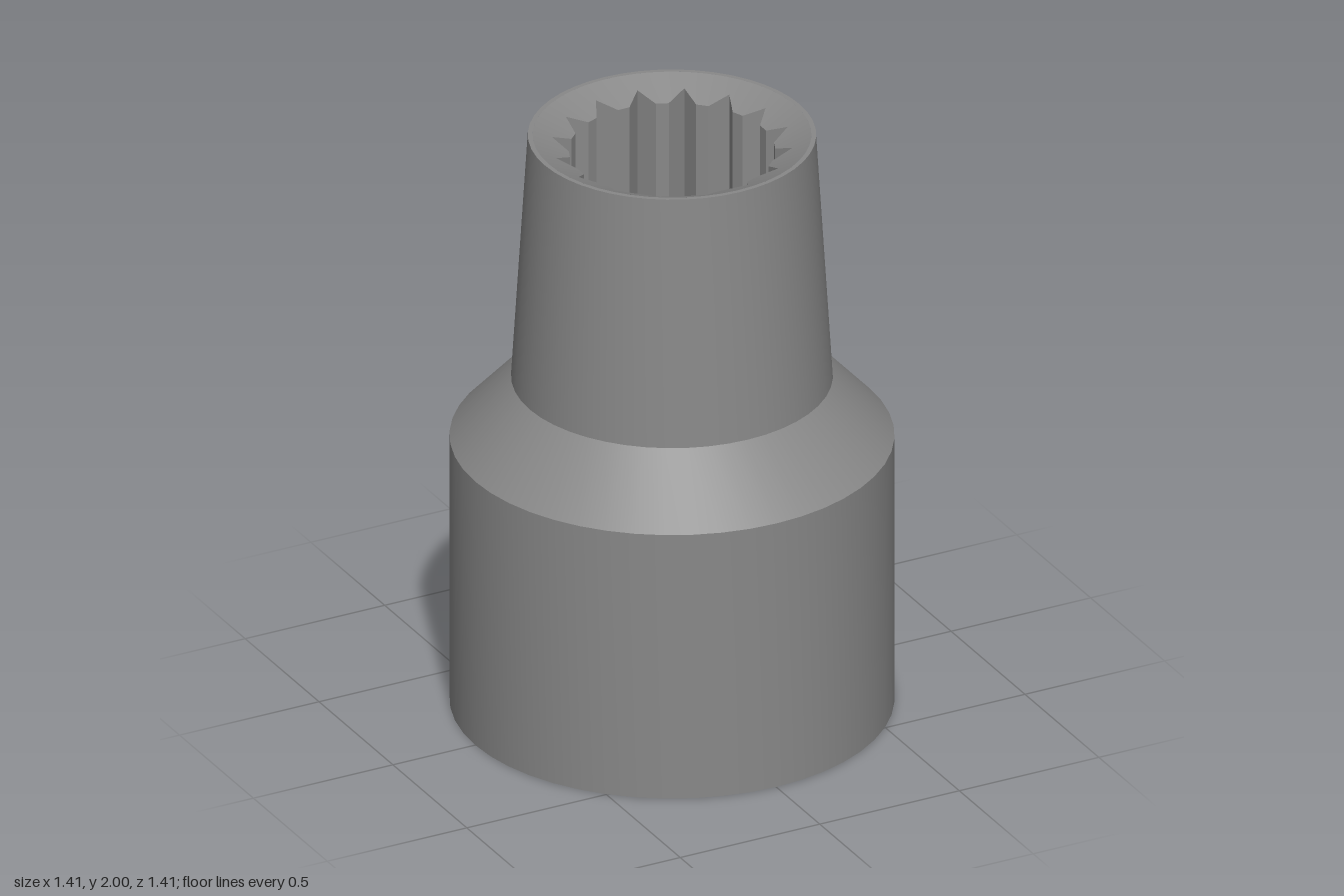
import * as THREE from 'three';
import { toCreasedNormals } from 'three/addons/utils/BufferGeometryUtils.js';

const TAU = Math.PI * 2;
const SEGMENTS = 48;
const even = Array.from({ length: SEGMENTS }, (_, i) => (i / SEGMENTS) * TAU);

// Sixteen-tooth spline outline: two inner corners and one tip per tooth
const STEP = TAU / 16;
const HALF_FLAT = 0.0628;
const spline = [];
for (let i = 0; i < 16; i++) {
  spline.push(
    { angle: i * STEP - HALF_FLAT, r: 0.327 },
    { angle: i * STEP + HALF_FLAT, r: 0.327 },
    { angle: (i + 0.5) * STEP, r: 0.382 },
  );
}
const splineAngles = spline.map((p) => p.angle);

// A closed ring; radius and height are functions of the sample's angle and index
function ring(angles, radius, height) {
  return angles.map((a, i) => {
    const r = radius(a, i);
    return [r * Math.sin(a), height(r), r * Math.cos(a)];
  });
}
const circle = (angles, r, y) => ring(angles, () => r, () => y);

// Skin successive rings with the same number of points
function loft(rings) {
  const positions = [];
  for (let k = 0; k < rings.length - 1; k++) {
    const a = rings[k], b = rings[k + 1];
    for (let i = 0; i < a.length; i++) {
      const j = (i + 1) % a.length;
      positions.push(...a[i], ...a[j], ...b[i], ...a[j], ...b[j], ...b[i]);
    }
  }
  const geometry = new THREE.BufferGeometry();
  geometry.setAttribute('position', new THREE.Float32BufferAttribute(positions, 3));
  return geometry;
}

export function createModel() {
  const group = new THREE.Group();
  group.name = 'splineSocket';
  const steel = new THREE.MeshStandardMaterial({ color: 0x888888 });
  steel.name = 'grey steel';

  const add = (name, geometry) => {
    const mesh = new THREE.Mesh(toCreasedNormals(geometry, 0.35), steel);
    mesh.name = name;
    group.add(mesh);
  };

  // Outer shell: wide drive end, shoulder, tapered neck and both flat rims
  add('outerBody', loft([
    [0.692, 0], [0.705, 0], [0.705, 0.935], [0.51, 1.145], [0.457, 2], [0.442, 2],
  ].map(([r, y]) => circle(even, r, y))));

  // Upper opening: shallow countersink, splined walls, floor
  const splineRadius = (a, i) => spline[i].r;
  const floorY = 1.145;
  add('splineRecess', loft([
    circle(splineAngles, 0.442, 2),
    ring(splineAngles, splineRadius, (r) => 2 - 0.47 * (0.442 - r)),
    ring(splineAngles, splineRadius, () => floorY),
    circle(splineAngles, 0.2, floorY),
  ]));

  // Round hole joining the two recesses
  const driveTop = 0.935;
  add('throughHole', loft([circle(even, 0.2, floorY), circle(even, 0.2, driveTop)]));

  // Lower opening: square drive recess with a conical lead-in
  const squareRadius = (a) => 0.405 / Math.max(Math.abs(Math.sin(a)), Math.abs(Math.cos(a)));
  add('squareDriveRecess', loft([
    circle(even, 0.2, driveTop),
    ring(even, squareRadius, () => driveTop),
    ring(even, squareRadius, (r) => 0.5 * (0.692 - r)),
    circle(even, 0.692, 0),
  ]));

  return group;
}
